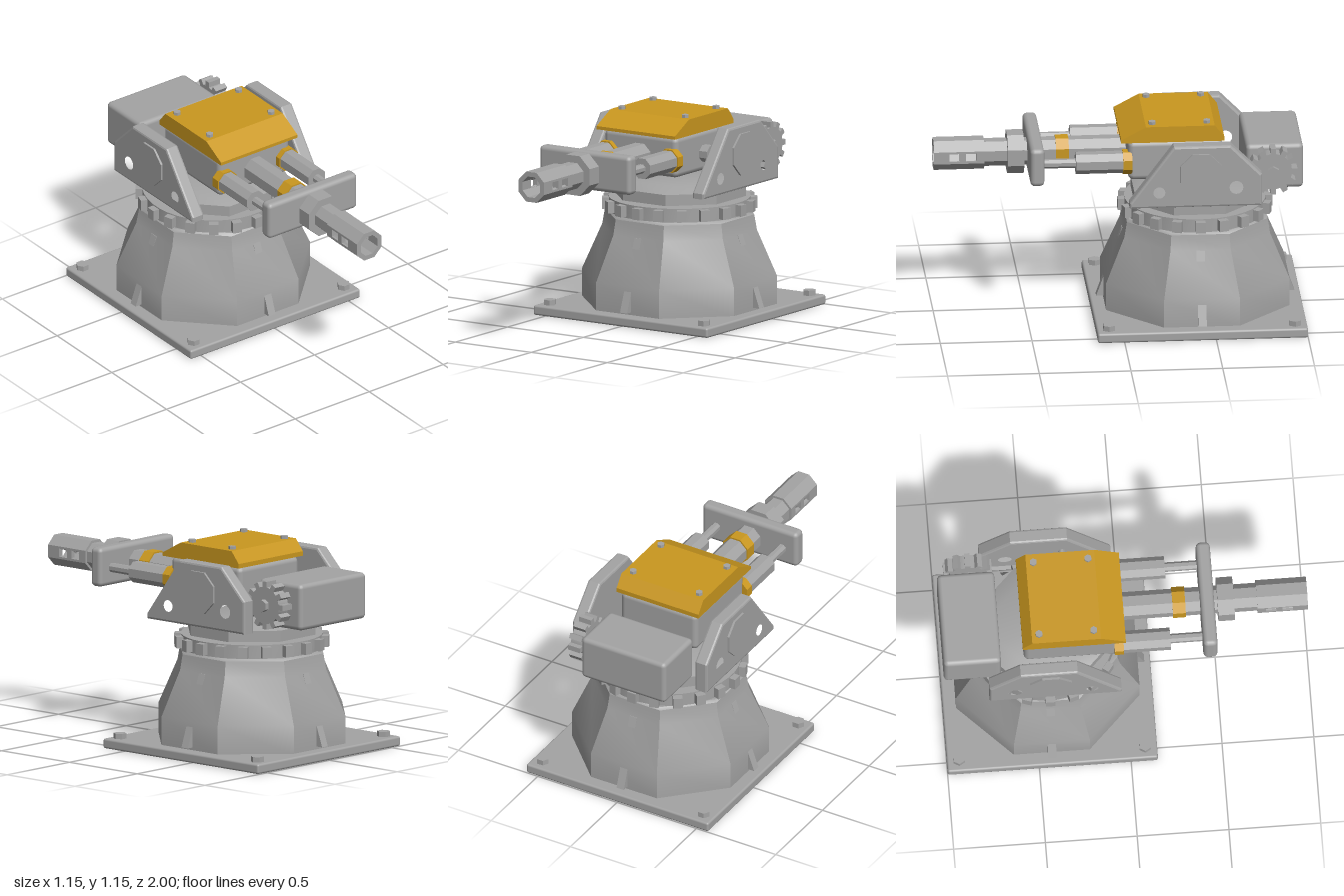
import * as THREE from 'three';
import { toCreasedNormals } from 'three/addons/utils/BufferGeometryUtils.js';
import { RoundedBoxGeometry } from 'three/addons/geometries/RoundedBoxGeometry.js';

const OCT = Math.cos(Math.PI / 8);
const CZ = -0.427; // turret axis
const AY = 0.915;  // barrel height

export function createModel() {
  const model = new THREE.Group();
  const steel = new THREE.MeshStandardMaterial({ color: 0xa3a3a3 });
  steel.name = 'steel grey';
  const gold = new THREE.MeshStandardMaterial({ color: 0xc9971f });
  gold.name = 'golden yellow';

  const add = (name, geo, x = 0, y = 0, z = 0, mat = steel, parent = model) => {
    const m = new THREE.Mesh(geo, mat);
    m.name = name;
    m.position.set(x, y, z);
    parent.add(m);
    return m;
  };
  // Rounded box from its extents
  const box = (name, x0, x1, y0, y1, z0, z1, r) =>
    add(name, new RoundedBoxGeometry(x1 - x0, y1 - y0, z1 - z0, 2, r),
      (x0 + x1) / 2, (y0 + y1) / 2, (z0 + z1) / 2);
  // Regular prism; r is the distance to the flats
  const prism = (r, len, axis = 'y', sides = 8) => {
    const half = Math.PI / sides;
    const R = r / Math.cos(half);
    const g = new THREE.CylinderGeometry(R, R, len, sides, 1, false, half);
    if (axis === 'z') g.rotateX(Math.PI / 2);
    if (axis === 'x') g.rotateZ(-Math.PI / 2);
    return toCreasedNormals(g, 0.4);
  };
  // Octagonal lathe; profile of [distance to flats, y]
  const octLathe = (pts) => toCreasedNormals(new THREE.LatheGeometry(
    pts.map(([r, y]) => new THREE.Vector2(r / OCT, y)), 8, Math.PI / 8), 0.6);
  // Side profile of [z, y] points, extruded across x and centred
  const sideProfile = (pts, width, holes = [], bevel = 0) => {
    const s = new THREE.Shape(pts.map(([z, y]) => new THREE.Vector2(-z, y)));
    for (const [z, y, r] of holes) {
      s.holes.push(new THREE.Path().absarc(-z, y, r, 0, Math.PI * 2, true));
    }
    const g = new THREE.ExtrudeGeometry(s, {
      depth: width - 2 * bevel, bevelEnabled: bevel > 0, bevelSize: bevel,
      bevelThickness: bevel, bevelOffset: -bevel, bevelSegments: 2, curveSegments: 8,
    });
    g.translate(0, 0, bevel - width / 2);
    return g.rotateY(Math.PI / 2);
  };

  // Base plate with corner bolts
  box('basePlate', -0.573, 0.573, 0, 0.055, -1, 0.146, 0.012);
  for (const x of [-0.507, 0.507]) for (const z of [-0.507, 0.507]) {
    add('baseBolt', prism(0.031, 0.03, 'y', 6), x, 0.069, CZ + z);
  }

  // Tapered pedestal and its four ribs
  add('pedestal', octLathe([[0, 0.05], [0.5, 0.05], [0.5, 0.21], [0.397, 0.46],
    [0.383, 0.545], [0.37, 0.558], [0, 0.558]]), 0, 0, CZ);
  for (let i = 0; i < 4; i++) {
    add('pedestalRib', sideProfile([[0.36, 0.07], [0.54, 0.07], [0.4, 0.46], [0.36, 0.46]], 0.046),
      0, 0, CZ).rotation.y = i * Math.PI / 2;
  }

  // Slewing ring with teeth
  const ring = new THREE.Group();
  ring.name = 'slewingRing';
  ring.position.set(0, 0.597, CZ);
  model.add(ring);
  add('ringCore', prism(0.385, 0.076, 'y', 40), 0, 0, 0, steel, ring);
  for (let i = 0; i < 20; i++) {
    const a = i * Math.PI / 10;
    add('ringTooth', new THREE.BoxGeometry(0.052, 0.062, 0.06),
      Math.sin(a) * 0.392, 0, Math.cos(a) * 0.392, steel, ring).rotation.y = a;
  }

  // Turntable
  add('turntable', octLathe([[0, 0.645], [0.34, 0.645], [0.34, 0.706], [0.25, 0.74], [0, 0.74]]), 0, 0, CZ);

  // Side plates with round bosses
  for (const s of [-1, 1]) {
    add('sidePlate', sideProfile(
      [[-0.04, 0.72], [-0.76, 0.72], [-0.76, 0.9], [-0.59, 1.073], [-0.28, 1.073], [-0.04, 0.75]].reverse(),
      0.078, [[-0.2, 0.81, 0.045], [-0.62, 0.83, 0.05]], 0.012), s * 0.386, 0, 0);
    add('sideBoss', prism(0.114, 0.04, 'x'), s * 0.417, AY, CZ);
  }

  // Receiver, side knob and rear box
  box('receiver', -0.24, 0.24, 0.815, 1.04, -0.56, -0.045, 0.03);
  add('knob', prism(0.045, 0.07, 'x'), 0.257, AY, -0.31);
  add('knobShaft', prism(0.016, 0.08, 'x'), 0.315, AY, -0.31);
  box('rearBox', -0.3, 0.23, 0.743, 0.998, -1, -0.688, 0.025);

  // Drive gear beside the rear box
  const gear = new THREE.Group();
  gear.name = 'driveGear';
  gear.position.set(0.295, 0.88, -0.828);
  model.add(gear);
  add('gearDisc', prism(0.102, 0.076, 'x', 24), 0, 0, 0, steel, gear);
  add('gearShaft', prism(0.035, 0.1, 'x', 6), -0.05, 0, 0, steel, gear);
  add('gearHub', prism(0.03, 0.05, 'x', 6), 0.04, 0, 0, steel, gear);
  for (let i = 0; i < 12; i++) {
    const a = i * Math.PI / 6;
    add('gearTooth', new THREE.BoxGeometry(0.076, 0.04, 0.03),
      0, Math.cos(a) * 0.112, Math.sin(a) * 0.112, steel, gear).rotation.x = a;
  }

  // Top cover and its bolts
  add('topCover', sideProfile([[-0.005, 1.04], [-0.005, 1.058], [-0.14, 1.13], [-0.515, 1.13],
    [-0.567, 1.065], [-0.567, 1.04]], 0.516), 0, 0, 0).material = gold;
  for (const x of [-0.208, 0.208]) for (const z of [-0.475, -0.177]) {
    add('coverBolt', prism(0.018, 0.13, 'y', 6), x, 1.082, z);
  }

  // Prism spanning z0 to z1 along the firing axis
  const along = (name, r, z0, z1, x = 0, mat = steel) =>
    add(name, prism(r, z1 - z0, 'z'), x, AY, (z0 + z1) / 2, mat);

  // Barrel and recoil cylinders
  along('barrel', 0.07, -0.06, 0.73);
  along('barrelBand', 0.078, 0.265, 0.335, 0, gold);
  along('barrelCollar', 0.11, 0.51, 0.6);
  for (const x of [-0.207, 0.207]) {
    along('recoilCylinder', 0.056, -0.06, 0.24, x);
    along('recoilBand', 0.063, -0.066, -0.016, x, gold);
    along('recoilRod', 0.024, 0.23, 0.43, x);
  }
  box('frontPlate', -0.3, 0.3, 0.815, 1.03, 0.415, 0.492, 0.025);

  // Hollow muzzle of eight walls, vented on both sides
  const muzzle = new THREE.Group();
  muzzle.name = 'muzzle';
  muzzle.position.set(0, AY, 0);
  model.add(muzzle);
  const w = 0.083 * Math.tan(Math.PI / 8);
  const rect = (P, x0, x1, y0, y1) => new P([[x0, y0], [x1, y0], [x1, y1], [x0, y1]]
    .map(([x, y]) => new THREE.Vector2(x, y)));
  for (let i = 0; i < 8; i++) {
    const wall = rect(THREE.Shape, -w, w, 0.725, 1);
    if (i % 4 === 2) {
      for (const z of [0.77, 0.86]) wall.holes.push(rect(THREE.Path, -0.0225, 0.0225, z, z + 0.058));
    }
    const g = new THREE.ExtrudeGeometry(wall, { depth: 0.026, bevelEnabled: false });
    g.rotateX(Math.PI / 2).translate(0, 0.083, 0); // length along z, thickness downward
    add('muzzleWall', g, 0, 0, 0, steel, muzzle).rotation.z = i * Math.PI / 4;
  }
  along('muzzleBack', 0.08, 0.726, 0.74);

  return model;
}
